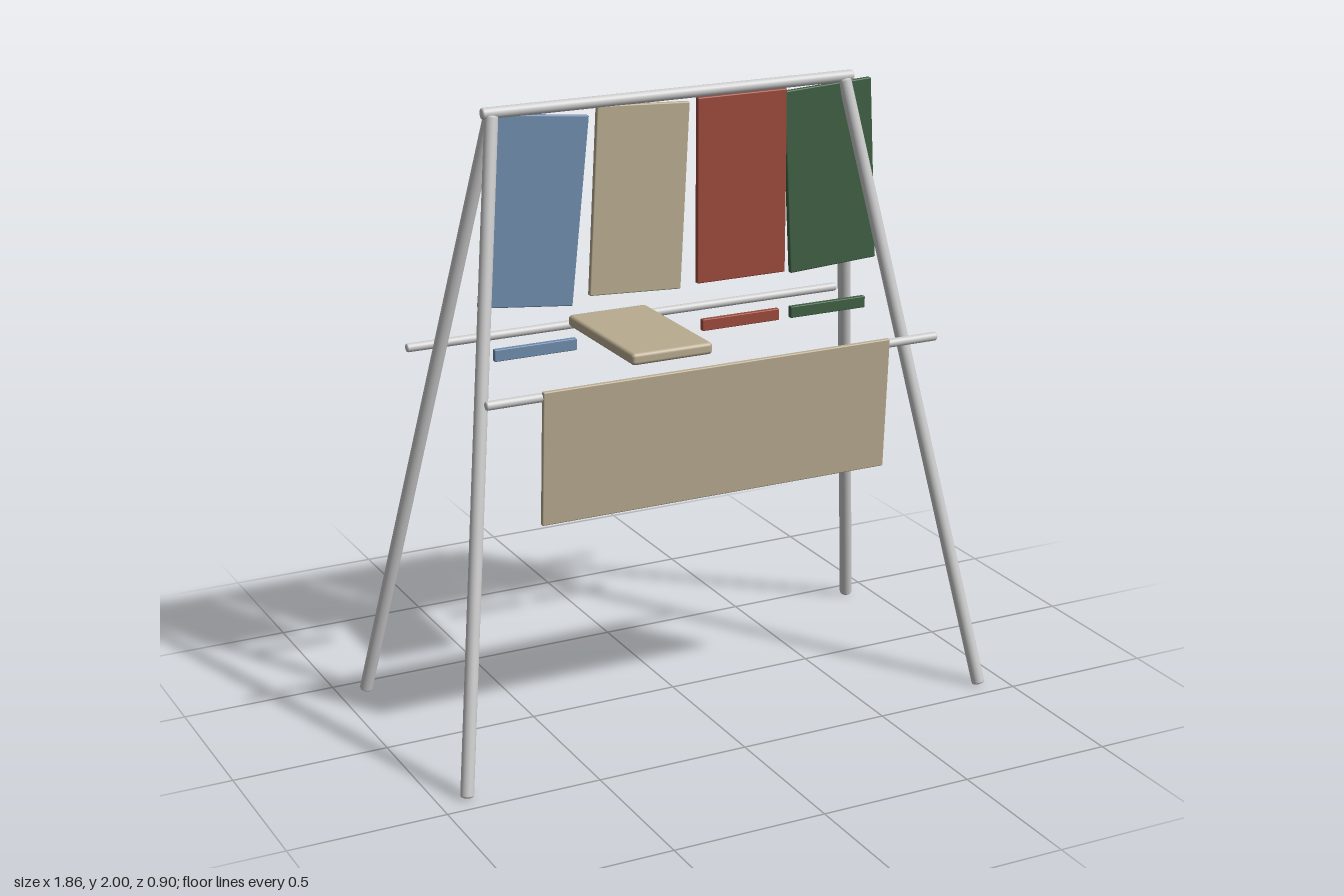
import * as THREE from 'three';
import { RoundedBoxGeometry } from 'three/addons/geometries/RoundedBoxGeometry.js';

const material = (color) => new THREE.MeshStandardMaterial({ color });
const grey = material(0xcccccc);
const tan = material(0xb8ab90);
const blue = material(0x6f8cad);
const red = material(0x9c4a3c);
const green = material(0x3f5f43);

export function createModel() {
  const model = new THREE.Group();

  // Round pole between two points, with softened ends
  function pole(name, from, to, radius) {
    const a = new THREE.Vector3(...from);
    const b = new THREE.Vector3(...to);
    const h = a.distanceTo(b) / 2;
    const bevel = radius * 0.35;
    const profile = [
      [0, -h], [radius - bevel, -h], [radius - bevel * 0.3, -h + bevel * 0.3], [radius, -h + bevel],
      [radius, h - bevel], [radius - bevel * 0.3, h - bevel * 0.3], [radius - bevel, h], [0, h],
    ].map(([x, y]) => new THREE.Vector2(x, y));
    const mesh = new THREE.Mesh(new THREE.LatheGeometry(profile, 24), grey);
    mesh.name = name;
    mesh.position.addVectors(a, b).multiplyScalar(0.5);
    mesh.quaternion.setFromUnitVectors(new THREE.Vector3(0, 1, 0), b.sub(a).normalize());
    model.add(mesh);
  }

  // Thin slab with slightly rounded edges
  function slab(name, size, position, color, radius = 0.004) {
    const mesh = new THREE.Mesh(new RoundedBoxGeometry(...size, 3, radius), color);
    mesh.name = name;
    mesh.position.set(...position);
    model.add(mesh);
    return mesh;
  }

  // Splayed legs meeting in pairs under the ridge
  for (const x of [-1, 1]) {
    for (const z of [-1, 1]) {
      const name = (z > 0 ? 'front' : 'back') + (x > 0 ? 'Left' : 'Right') + 'Leg';
      pole(name, [x * 0.909, 0.006, z * 0.432], [x * 0.602, 1.975, z * 0.004], 0.021);
    }
  }

  // Ridge pole and the two long side rails
  pole('ridgePole', [-0.633, 1.982, 0], [0.633, 1.982, 0], 0.018);
  pole('frontRail', [-0.772, 1.19, 0.317], [0.772, 1.19, 0.317], 0.014);
  pole('backRail', [-0.772, 1.19, -0.317], [0.772, 1.19, -0.317], 0.014);

  // Cloth panels hanging from the ridge, each at its own tilt
  const panels = [
    ['blue', -0.472, -0.105, blue],
    ['tan', -0.117, -0.053, tan],
    ['red', 0.239, 0, red],
    ['green', 0.557, 0.053, green],
  ];
  for (const [name, x, tilt, color] of panels) {
    slab(name + 'Panel', [0.313, 0.592, 0.018], [x, 1.667, 0], color).rotation.z = tilt;
    // Narrow slats below the panels; the tan one is a full seat
    if (color !== tan) slab(name + 'Slat', [0.275, 0.038, 0.018], [x, 1.232, 0], color, 0.003);
  }
  slab('seat', [0.275, 0.038, 0.472], [-0.117, 1.232, 0], tan, 0.012);

  // Apron cloth hung on the front rail, leaning in at its foot
  slab('frontApron', [1.187, 0.43, 0.015], [0, 0.995, 0.315], tan).rotation.x = 0.058;

  return model;
}
